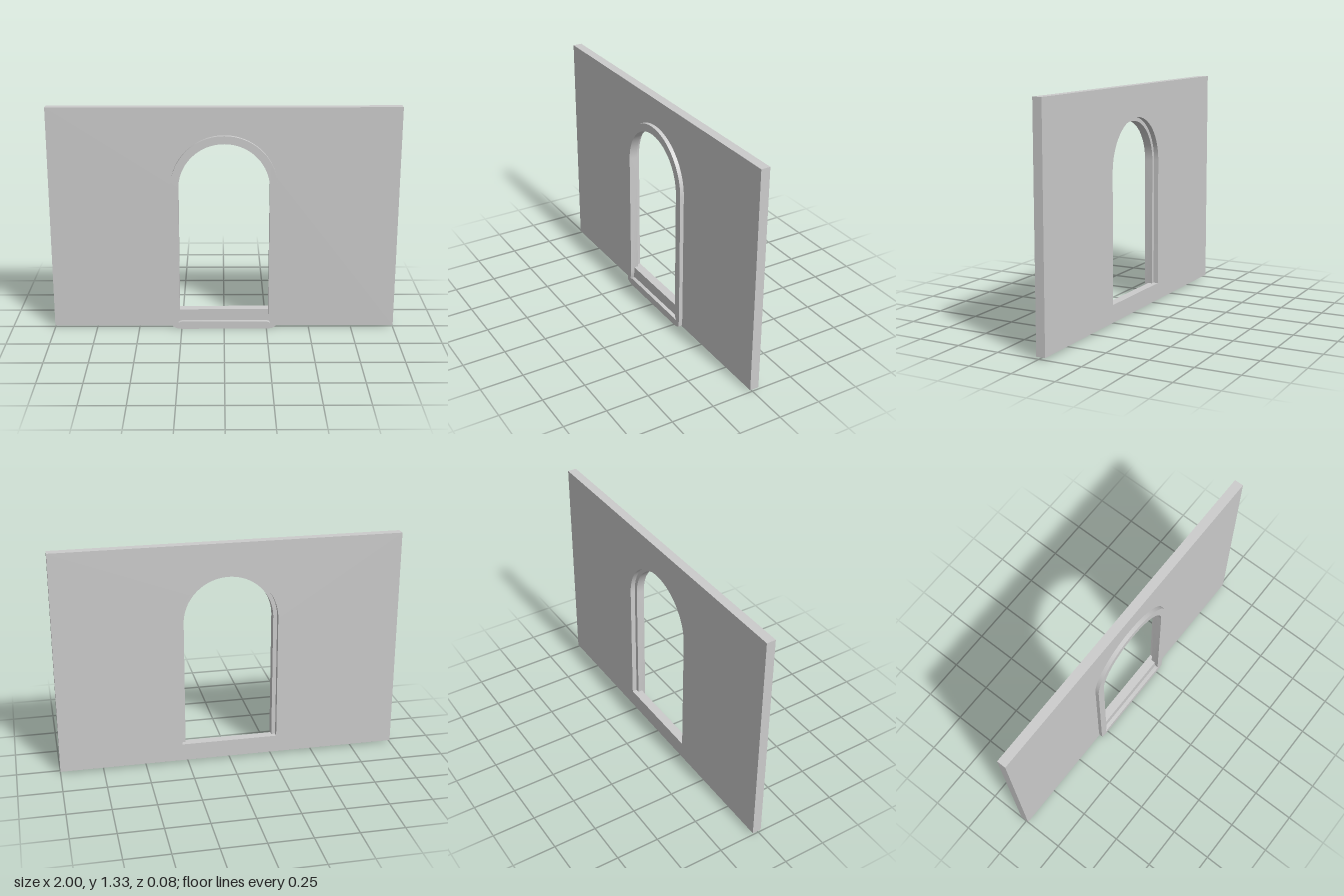
import * as THREE from 'three';
import { toCreasedNormals } from 'three/addons/utils/BufferGeometryUtils.js';

const SPRING = 0.865; // height where the arch starts

// Round-arched outline; foot lists the lower right corner points, top to bottom, mirrored to the left.
function archOutline(target, radius, foot) {
  const left = foot.map(([x, y]) => [-x, y]);
  target.moveTo(radius, SPRING);
  target.absarc(0, SPRING, radius, 0, Math.PI, false);
  for (const [x, y] of left) target.lineTo(x, y);
  for (const [x, y] of [...foot].reverse()) target.lineTo(x, y);
  target.closePath();
  return target;
}

function slab(name, shape, back, front, material) {
  const geometry = new THREE.ExtrudeGeometry(shape, {
    depth: front - back, bevelEnabled: false, curveSegments: 40,
  });
  geometry.translate(0, 0, back);
  const mesh = new THREE.Mesh(toCreasedNormals(geometry, Math.PI / 9), material);
  mesh.name = name;
  return mesh;
}

export function createModel() {
  const group = new THREE.Group();
  group.name = 'archedWindowWall';
  const material = new THREE.MeshStandardMaterial({ color: 0xcccccc });

  // Wall panel with an arched opening
  const wall = new THREE.Shape();
  wall.moveTo(-1, 0.015);
  wall.lineTo(1, 0.015);
  wall.lineTo(1, 1.33);
  wall.lineTo(-1, 1.33);
  wall.closePath();
  wall.holes.push(archOutline(new THREE.Path(), 0.283, [[0.283, 0.118]]));
  group.add(slab('wall', wall, -0.038, 0.015, material));

  // Raised frame, set partly into the opening, with slightly rounded lower corners
  const frame = archOutline(new THREE.Shape(), 0.306,
    [[0.306, 0.07], [0.302, 0.018], [0.28, 0.007], [0.25, 0.003]]);
  frame.holes.push(archOutline(new THREE.Path(), 0.26,
    [[0.26, 0.095], [0.264, 0.065], [0.27, 0.042], [0.25, 0.049]]));
  group.add(slab('windowFrame', frame, -0.01, 0.038, material));

  return group;
}
